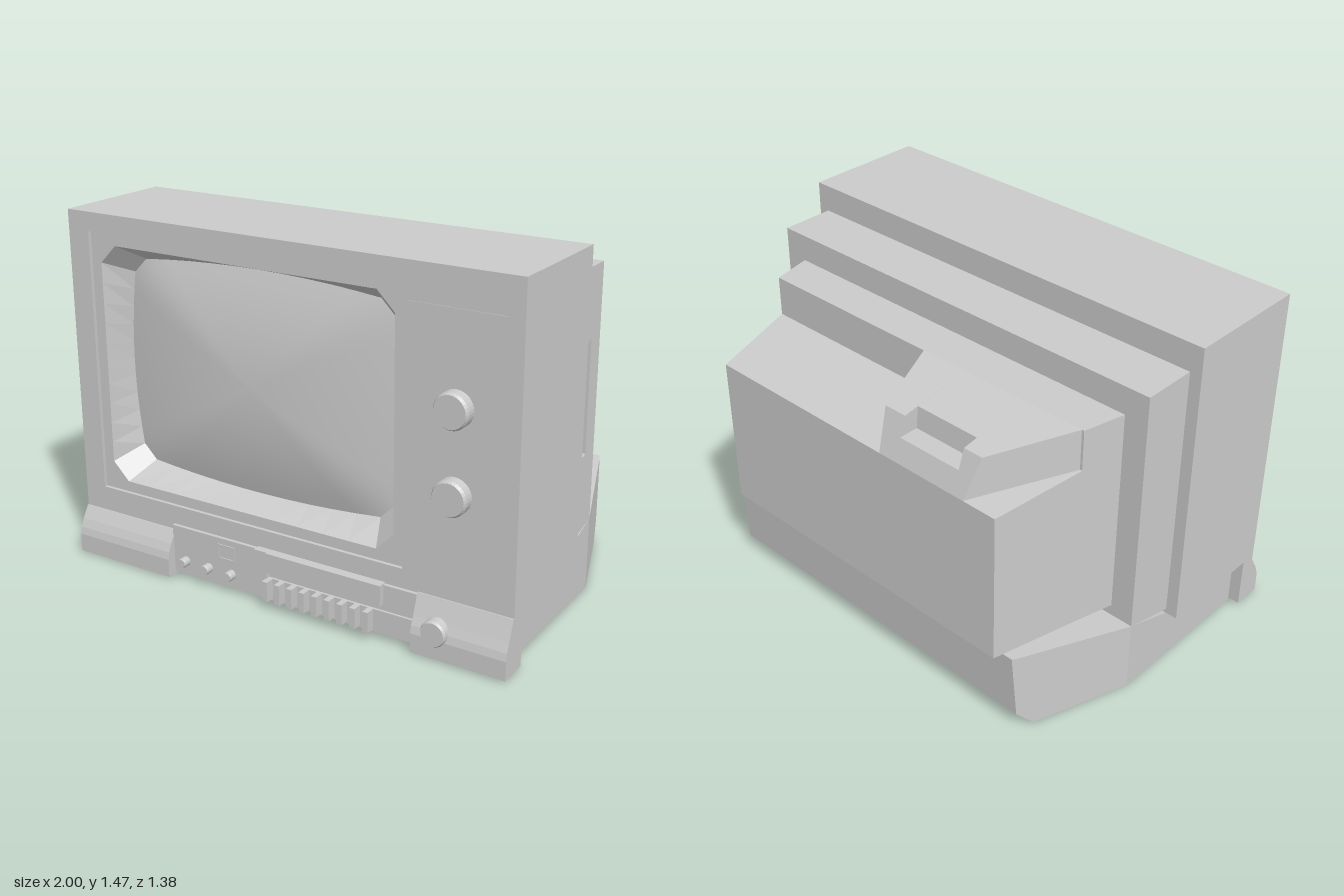
import * as THREE from 'three';

const material = new THREE.MeshStandardMaterial({ color: 0xcccccc });

// Skin over rings of points; counter-clockwise seen from +z, front ring first.
function skin(rings, caps, smooth) {
  const n = rings[0].length, index = [];
  for (let r = 0; r < rings.length - 1; r++) {
    for (let i = 0; i < n; i++) {
      const j = (i + 1) % n, a = r * n, b = a + n;
      index.push(a + i, b + i, a + j, a + j, b + i, b + j);
    }
  }
  if (caps) {
    const b = (rings.length - 1) * n;
    for (let i = 1; i < n - 1; i++) index.push(0, i, i + 1, b, b + i + 1, b + i);
  }
  let g = new THREE.BufferGeometry();
  g.setAttribute('position', new THREE.Float32BufferAttribute(rings.flat(2), 3));
  g.setIndex(index);
  if (!smooth) g = g.toNonIndexed();
  g.computeVertexNormals();
  return g;
}

// Rectangular sections along z: [z, x0, x1, y0, y1]
const loft = (sections) => skin(sections.map(([z, x0, x1, y0, y1]) =>
  [[x0, y0, z], [x1, y0, z], [x1, y1, z], [x0, y1, z]]), true);

const toShape = (pts) => new THREE.Shape(pts.map((p) => new THREE.Vector2(p[0], p[1])));
const rect = (x0, x1, y0, y1) => [[x0, y0], [x1, y0], [x1, y1], [x0, y1]];

// Side profile of [z, y] points, extruded from x0 to x1
function profile(pts, x0, x1) {
  const g = new THREE.ExtrudeGeometry(toShape(pts), { depth: x1 - x0, bevelEnabled: false });
  return g.rotateY(-Math.PI / 2).translate(x1, 0, 0);
}

// Flat plate with an opening, from z0 to z1
function plate(outer, hole, z0, z1) {
  const s = toShape(outer);
  s.holes.push(toShape(hole));
  return new THREE.ExtrudeGeometry(s, { depth: z1 - z0, bevelEnabled: false }).translate(0, 0, z0);
}

const box = (x0, x1, y0, y1, z0, z1) => new THREE.BoxGeometry(x1 - x0, y1 - y0, z1 - z0)
  .translate((x0 + x1) / 2, (y0 + y1) / 2, (z0 + z1) / 2);

// Cut-corner rectangle whose sides bow outwards
function outline(cx, cy, hw, hh, bow, cut, z, scale = 1) {
  const pts = [], steps = 10;
  const w = hw - bow, h = hh - bow;
  for (let side = 0; side < 4; side++) {
    const [len, out] = side % 2 ? [h, w] : [w, h];
    const angle = side * Math.PI / 2;
    for (let k = 0; k <= steps; k++) {
      const t = 2 * k / steps - 1;
      const u = t * (len - cut), v = -(out + bow * (1 - t * t));
      const c = Math.round(Math.cos(angle)), s = Math.round(Math.sin(angle));
      pts.push([cx + scale * (u * c - v * s), cy + scale * (u * s + v * c), z]);
    }
  }
  return pts;
}

export function createModel() {
  const model = new THREE.Group();
  const add = (name, geometry) => {
    const m = new THREE.Mesh(geometry, material);
    m.name = name;
    model.add(m);
    return m;
  };
  const knob = (name, x, y, r, z0, z1) => {
    const d = z1 - z0;
    const pts = [[r * 0.9, 0], [r, d * 0.05], [r, d * 0.8], [r * 0.9, d], [0, d]];
    const g = new THREE.LatheGeometry(pts.map((p) => new THREE.Vector2(...p)), 32);
    const m = add(name, g.toNonIndexed().rotateX(Math.PI / 2));
    m.geometry.computeVertexNormals();
    m.position.set(x, y, z0);
  };

  // Cabinet
  const opening = rect(-0.9, 0.54, 0.304, 1.392);
  add('cabinetBack', box(-1, 1, 0.23, 1.47, 0.08, 0.42));
  add('cabinetFront', plate(rect(-1, 1, 0.23, 1.47), opening, 0.42, 0.615));
  add('frontTrimLine', box(0.55, 0.94, 1.322, 1.327, 0.61, 0.617));

  // Screen and its sloping surround
  const cx = -0.18, cy = 0.846;
  const rim = outline(cx, cy, 0.674, 0.4975, 0, 0.075, 0.6);
  const tube = (z, s) => outline(cx, cy, 0.636, 0.459, 0.03, 0.06, z, s);
  add('screenBezel', plate(opening, rim, 0.56, 0.6));
  add('screenSurround', skin([tube(0.48), rim], false));
  const rings = [];
  for (let i = 0; i <= 10; i++) {
    const s = Math.max(i / 10, 0.001);
    rings.push(tube(0.48 + 0.07 * (1 - s * s), s));
  }
  add('screen', skin(rings, false, true));

  // Middle step with a grip recess on the left side
  add('middleHousing', loft([[0.08, -0.95, 0.88, 0.25, 1.355], [-0.15, -0.95, 0.88, 0.31, 1.355]]));
  add('gripPanel', profile([[0.08, 0.25], [0.08, 0.58], [-0.07, 0.61], [-0.07, 1.07],
    [0.08, 1.06], [0.08, 1.355], [-0.15, 1.355], [-0.15, 0.31]], 0.88, 0.95));

  // Rear housing with a sloping ledge
  add('rearHousing', loft([
    [-0.15, -0.85, 0.85, 0.358, 1.24], [-0.325, -0.81, 0.81, 0.364, 1.24],
    [-0.325, -0.81, 0.81, 0.364, 1.07], [-0.69, -0.73, 0.73, 0.375, 1.02]]));

  // Raised hump on the ledge, notched by a carrying pocket
  const hump = (xs) => loft([
    [-0.325, ...xs[0], 1, 1.24], [-0.63, ...xs[1], 1, 1.19], [-0.69, ...xs[2], 1, 1.02]]);
  add('humpRight', hump([[-0.8, -0.53], [-0.615, -0.53], [-0.58, -0.53]]));
  add('humpLeft', hump([[-0.24, -0.03], [-0.24, -0.14], [-0.24, -0.16]]));
  add('humpPocket', profile([[-0.325, 1], [-0.325, 1.24], [-0.565, 1.2], [-0.575, 1.11],
    [-0.658, 1.11], [-0.69, 1.02], [-0.69, 1]], -0.53, -0.24));

  // Base, tapering towards the back
  add('base', loft([
    [0.55, 0.95, 0, 0.23], [0.08, 0.95, 0, 0.23], [-0.15, 0.95, 0, 0.31],
    [-0.55, 0.815, 0, 0.358], [-0.625, 0.79, 0.08, 0.368], [-0.645, 0.78, 0.365, 0.37],
  ].map(([z, w, y0, y1]) => [z, -w, w, y0, y1])));
  add('baseFront', box(-1, 1, 0.01, 0.23, 0.548, 0.615));
  add('controlPanel', box(-0.53, 0.61, 0.02, 0.225, 0.6, 0.63));
  const block = (top) => [[0.61, 0.008], [0.61, top], [0.62, top], [0.65, 0.15],
    [0.665, 0.115], [0.672, 0.085], [0.672, 0.008]];
  add('rightFrontBlock', profile(block(0.2), -1, -0.525));
  add('leftFrontBlock', profile(block(0.23), 0.61, 1));

  // Cassette lid, key strip and keys
  add('cassetteFrame', box(-0.11, -0.05, 0.12, 0.23, 0.6, 0.648));
  add('cassetteLid', box(-0.05, 0.47, 0.145, 0.23, 0.6, 0.655));
  add('keyStrip', box(-0.11, 0.605, 0.025, 0.12, 0.6, 0.64));
  for (let i = 0; i < 9; i++) {
    const x = -0.04 + i * 0.0575;
    add('key', box(x - 0.012, x + 0.012, 0.035, 0.12, 0.63, 0.68));
  }

  // Small indicator window and buttons
  add('indicatorWindow', plate(rect(-0.3, -0.215, 0.135, 0.2), rect(-0.292, -0.223, 0.143, 0.192), 0.625, 0.634));
  for (const x of [-0.465, -0.35, -0.235]) knob('button', x, 0.08, 0.02, 0.625, 0.665);

  // Knobs
  for (const y of [0.97, 0.645]) knob('tuningKnob', 0.75, y, 0.07, 0.61, 0.665);
  knob('volumeKnob', 0.71, 0.115, 0.052, 0.64, 0.69);
  return model;
}
